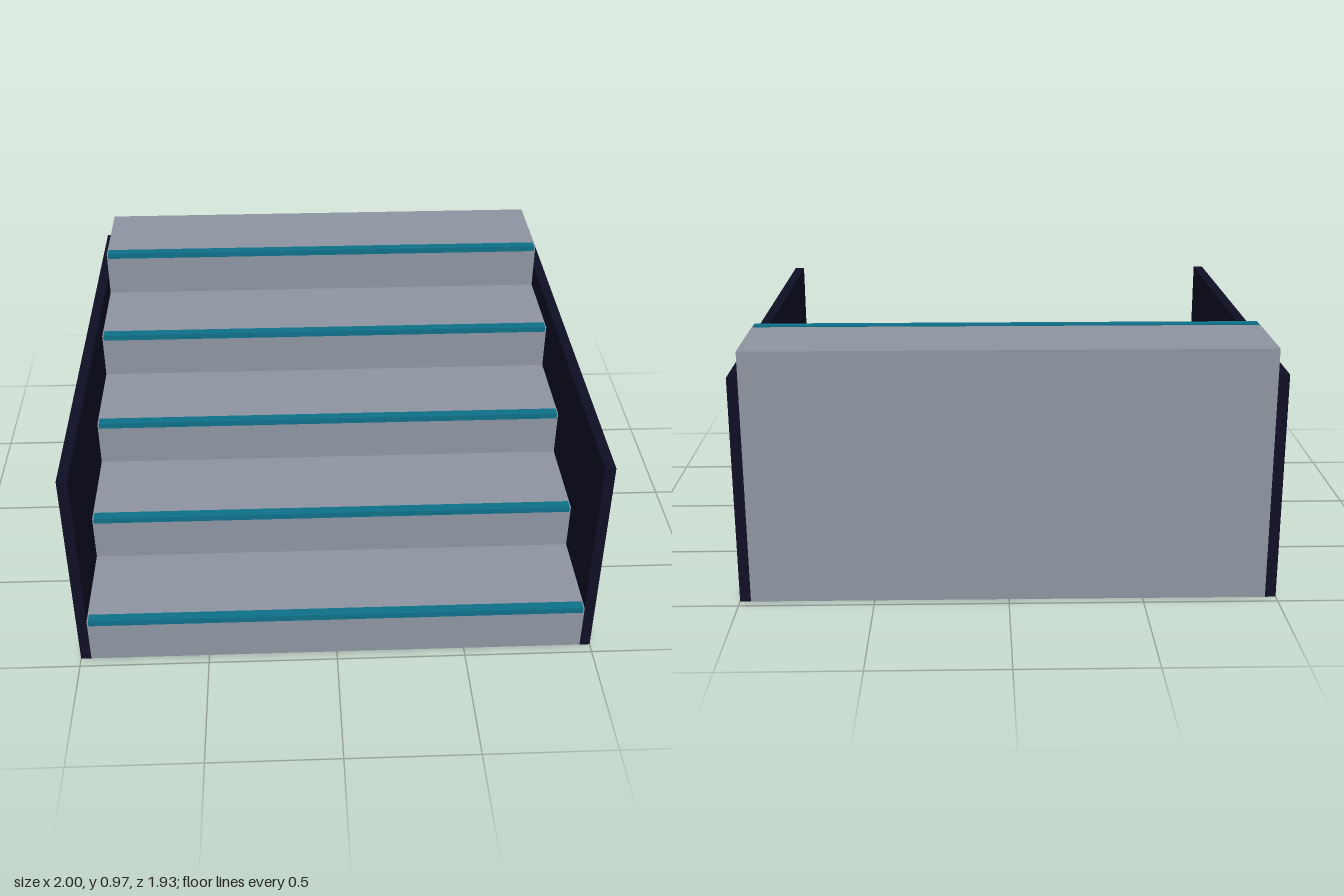
import * as THREE from 'three';

const STEPS = 5, RISE = 0.1925, RUN = 0.3846;
const FRONT = 0.959, BACK = -0.964, INNER = 0.96;

export function createModel() {
  const model = new THREE.Group();
  model.name = 'staircase';
  const material = (name, color) => {
    const m = new THREE.MeshStandardMaterial({ color });
    m.name = name;
    return m;
  };
  const concrete = material('concrete grey', 0x8d95a1);
  const navy = material('dark navy', 0x0f0f25);
  const teal = material('teal', 0x0e7088);

  const add = (name, geometry, mat, x = 0, y = 0, z = 0) => {
    const mesh = new THREE.Mesh(geometry, mat);
    mesh.name = name;
    mesh.position.set(x, y, z);
    model.add(mesh);
    return mesh;
  };

  // Solid flight: stepped side profile (shape x runs backwards) extruded across the width
  const profile = new THREE.Shape();
  profile.moveTo(-FRONT, 0);
  for (let i = 0; i < STEPS; i++) {
    const z = FRONT - i * RUN;
    profile.lineTo(-z, (i + 1) * RISE);
    profile.lineTo(i === STEPS - 1 ? -BACK : -(z - RUN), (i + 1) * RISE);
  }
  profile.lineTo(-BACK, 0);
  profile.closePath();
  const flight = new THREE.ExtrudeGeometry(profile, { depth: 2 * INNER, bevelEnabled: false });
  flight.rotateY(Math.PI / 2);
  add('steps', flight, concrete, -INNER);

  // Nosing strip wrapped over the front edge of each tread
  const nosing = new THREE.BoxGeometry(1.908, 0.024, 0.039);
  for (let i = 0; i < STEPS; i++) {
    add(`nosing${i + 1}`, nosing, teal, 0, (i + 1) * RISE - 0.007, FRONT - i * RUN - 0.0155);
  }

  // Side walls
  const wall = new THREE.BoxGeometry(0.04, 0.867, FRONT - BACK);
  for (const [name, side] of [['leftWall', 1], ['rightWall', -1]]) {
    add(name, wall, navy, side * 0.98, 0.4335, (FRONT + BACK) / 2);
  }
  return model;
}
